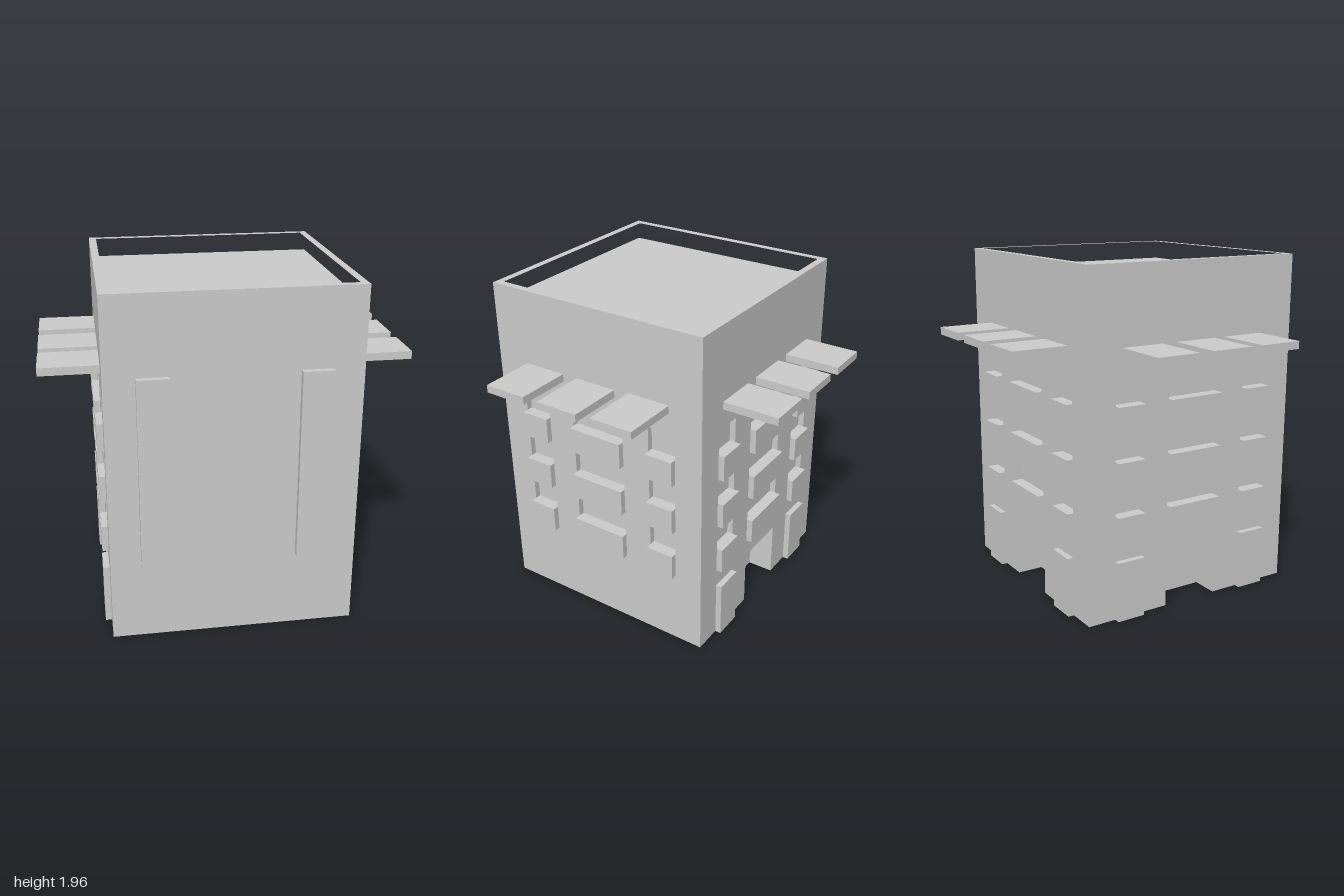
import * as THREE from 'three';

const H = 0.677;        // half width of the square plan
const TOP = 1.955;
const ROOF = 1.84;
const RELIEF = 0.035;   // depth of window recesses and of raised panels
const COLUMNS = [[-0.51, -0.34], [-0.17, 0.17], [0.34, 0.51]];
const material = new THREE.MeshStandardMaterial({ color: 0xcccccc, flatShading: true });

// Walls in order round the plan: front, right (+x), back, left (-x)
const ANGLES = [0, Math.PI / 2, Math.PI, -Math.PI / 2];

// Square plan outline; notches[i] lists the recessed spans of wall i
function plan(notches, depth) {
  const points = [];
  ANGLES.forEach((a, i) => {
    const add = (u, w) => points.push(new THREE.Vector2(
      u * Math.cos(a) + w * Math.sin(a), -u * Math.sin(a) + w * Math.cos(a)));
    add(-H, H);
    for (const [u0, u1] of notches[i]) {
      add(u0, H); add(u0, H - depth); add(u1, H - depth); add(u1, H);
    }
  });
  return new THREE.Shape(points);
}

// Horizontal slice of the building between two heights
function storey(name, shape, y0, y1) {
  const geo = new THREE.ExtrudeGeometry(shape, { depth: y1 - y0, bevelEnabled: false });
  geo.rotateX(Math.PI / 2).translate(0, y1, 0);
  const mesh = new THREE.Mesh(geo, material);
  mesh.name = name;
  return mesh;
}

// Box standing out from a wall, in the wall's own frame
function panel(name, u0, u1, y0, y1, out) {
  const sunk = 0.01;
  const mesh = new THREE.Mesh(new THREE.BoxGeometry(u1 - u0, y1 - y0, out + sunk), material);
  mesh.position.set((u0 + u1) / 2, (y0 + y1) / 2, H + (out - sunk) / 2);
  mesh.name = name;
  return mesh;
}

export function createModel() {
  const model = new THREE.Group();
  model.name = 'apartmentBlock';
  const building = new THREE.Group();
  building.name = 'building';
  building.position.z = 0.14;
  model.add(building);

  // Stacked slices: ground floor with entrances, then solid and window bands
  const entrance = [COLUMNS[1]];
  const solid = plan([[], [], [], []], 0);
  const windows = plan([[], COLUMNS, COLUMNS, COLUMNS], RELIEF);
  building.add(storey('groundFloor', plan([[], [], entrance, entrance], 0.155), 0, 0.34));
  let y = 0.34;
  for (const sill of [0.605, 0.91, 1.215]) {
    building.add(storey('wallBand', solid, y, sill));
    building.add(storey('windowBand', windows, sill, sill + 0.15));
    y = sill + 0.15;
  }
  building.add(storey('upperWall', solid, y, ROOF));

  // Parapet around the sunken roof
  const rim = plan([[], [], [], []], 0);
  const inner = H - 0.042;
  rim.holes.push(new THREE.Path([[-inner, -inner], [-inner, inner], [inner, inner], [inner, -inner]]
    .map(([x, z]) => new THREE.Vector2(x, z))));
  building.add(storey('parapet', rim, ROOF, TOP));

  const walls = ['frontWall', 'rightSideWall', 'backWall', 'leftSideWall'].map((name, i) => {
    const wall = new THREE.Group();
    wall.name = name + 'Details';
    wall.rotation.y = ANGLES[i];
    building.add(wall);
    return wall;
  });

  // Tall pilasters on the front
  for (const [u0, u1] of [COLUMNS[0], COLUMNS[2]]) {
    walls[0].add(panel('pilaster', u0, u1, 0.45, 1.52, RELIEF));
  }

  // Canopy centres along each wall, with their lower edges
  const canopies = [
    [],
    [[-0.3475, 1.477], [0, 1.477], [0.3475, 1.486]],
    [[-0.3475, 1.477], [-0.007, 1.477], [0.3425, 1.477]],
    [[-0.3425, 1.477], [0.003, 1.477], [0.325, 1.477]],
  ];
  for (let i = 1; i < 4; i++) {
    // Balconies below each window
    for (const [u0, u1] of COLUMNS) {
      for (const base of [0.453, 0.758, 1.063]) {
        walls[i].add(panel('balcony', u0, u1, base, base + 0.152, RELIEF));
      }
    }
    for (const [u, base] of canopies[i]) {
      walls[i].add(panel('canopy', u - 0.1275, u + 0.1275, base, base + 0.044, 0.323));
    }
    // Raised door panels beside the entrances
    if (i > 1) {
      for (const [u0, u1] of [COLUMNS[0], COLUMNS[2]]) {
        walls[i].add(panel('doorPanel', u0, u1, 0, 0.345, RELIEF));
      }
    }
  }
  return model;
}
